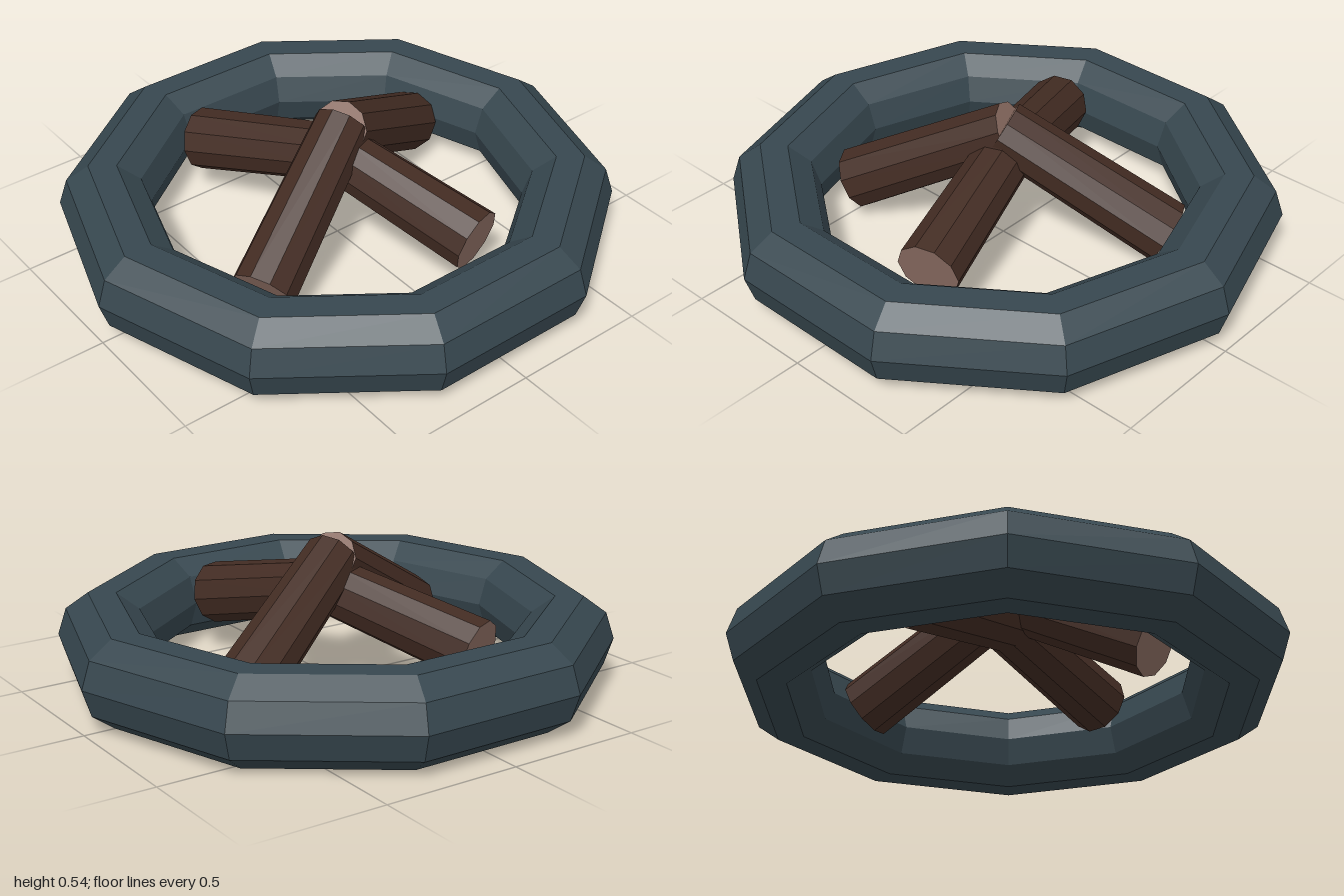
import * as THREE from 'three';

export function createModel() {
  const group = new THREE.Group();
  group.name = 'campfire';

  const mat = (name, color) => {
    const m = new THREE.MeshStandardMaterial({ color, flatShading: true });
    m.name = name;
    return m;
  };
  const stone = mat('slate stone', 0x37474f);
  const bark = mat('dark bark', 0x432c23);
  const cutWood = mat('cut wood', 0x8d6e63);

  // Ten-sided stone ring lying on the ground
  const tube = 0.165;
  const ring = new THREE.Mesh(new THREE.TorusGeometry(1 - tube, tube, 10, 10), stone);
  ring.name = 'fireRing';
  ring.rotation.x = Math.PI / 2;
  ring.position.y = tube * Math.sin(Math.PI * 0.4);
  group.add(ring);

  // Slightly tapered log running from its outer foot to its inner tip
  const up = new THREE.Vector3(0, 1, 0);
  const addLog = (name, foot, tip) => {
    const a = new THREE.Vector3(...foot);
    const b = new THREE.Vector3(...tip);
    const axis = b.clone().sub(a);
    const geo = new THREE.CylinderGeometry(0.104, 0.115, axis.length(), 10);
    const log = new THREE.Mesh(geo, [bark, cutWood, cutWood]);
    log.name = name;
    log.position.copy(a).add(b).multiplyScalar(0.5);
    log.quaternion.setFromUnitVectors(up, axis.normalize());
    group.add(log);
  };

  // Upper pair leaning together at the peak
  addLog('rightLog', [-0.51, 0.13, 0.245], [0.03, 0.45, -0.01]);
  addLog('leftLog', [0.55, 0.13, -0.255], [0.005, 0.45, 0.005]);
  // Lower pair, flatter, crossing beneath
  addLog('frontLog', [0.17, 0.215, 0.555], [0.01, 0.345, 0]);
  addLog('backLog', [-0.215, 0.21, -0.55], [0.01, 0.345, 0]);

  return group;
}
